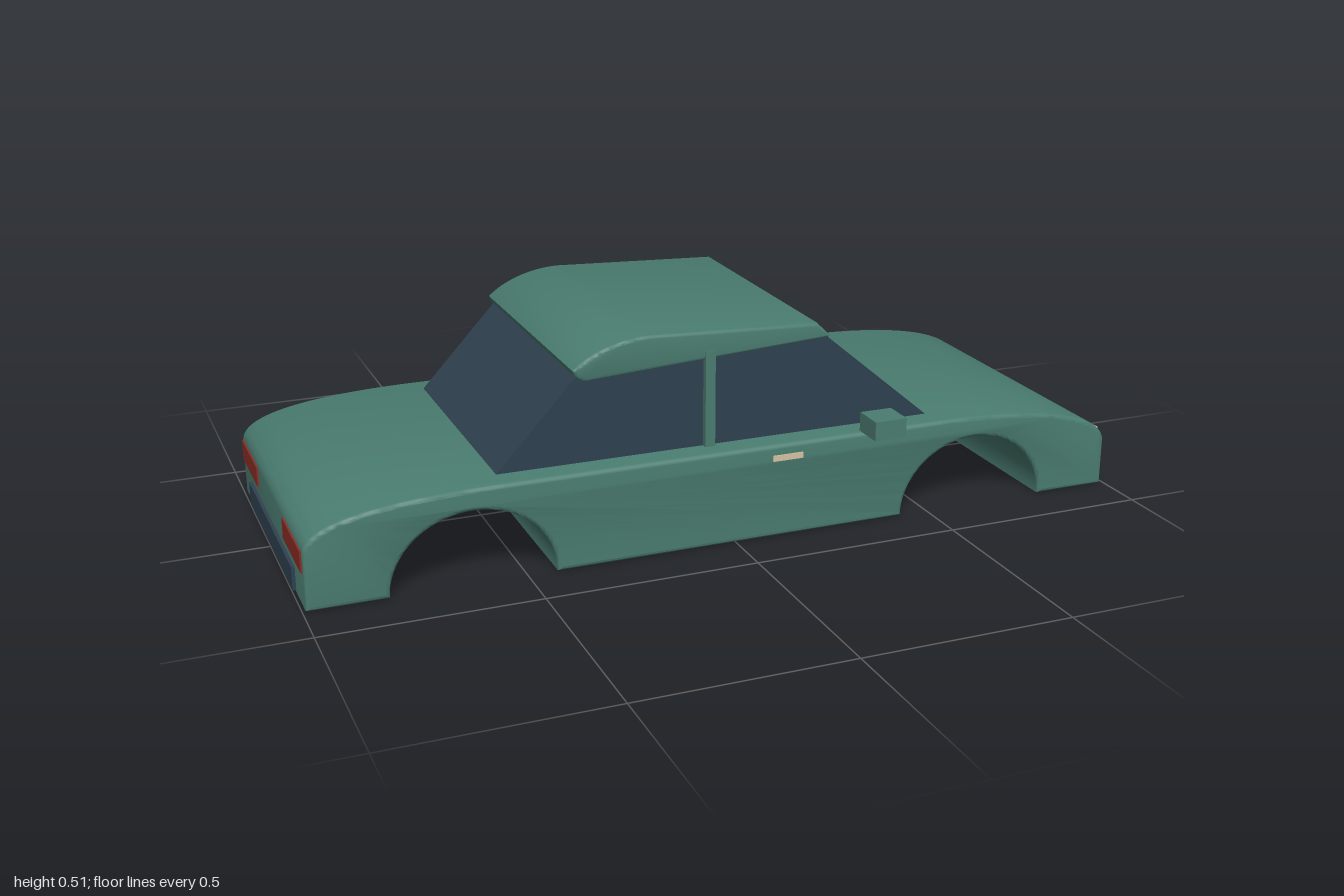
import * as THREE from 'three';
import { toCreasedNormals } from 'three/addons/utils/BufferGeometryUtils.js';

const mat = (name, color) => {
  const m = new THREE.MeshStandardMaterial({ color });
  m.name = name;
  return m;
};

export function createModel() {
  const car = new THREE.Group();
  car.name = 'carBody';
  const paint = mat('green paint', 0x4a7c70);
  const glass = mat('dark glass', 0x2f4150);
  const red = mat('tail light red', 0x8b2e26);
  const cream = mat('cream trim', 0xd6c3a3);

  const add = (name, geometry, material) => {
    const mesh = new THREE.Mesh(geometry, material);
    mesh.name = name;
    car.add(mesh);
    return mesh;
  };

  // Side profile extruded across the car, with softly bevelled flanks
  const slab = (name, shape, halfWidth, bevel, material) => {
    const g = new THREE.ExtrudeGeometry(shape, {
      depth: 2 * (halfWidth - bevel), curveSegments: 28,
      bevelEnabled: bevel > 0, bevelThickness: bevel, bevelSize: bevel,
      bevelOffset: -bevel, bevelSegments: 3,
    });
    g.translate(0, 0, -(halfWidth - bevel));
    return add(name, toCreasedNormals(g, 0.6), material);
  };

  // Box given by its limits on each axis
  const box = (name, [x0, x1], [y0, y1], [z0, z1], material) => {
    const g = new THREE.BoxGeometry(x1 - x0, y1 - y0, z1 - z0);
    g.translate((x0 + x1) / 2, (y0 + y1) / 2, (z0 + z1) / 2);
    return add(name, g, material);
  };

  // Lower body with two wheel arches cut right through
  const body = new THREE.Shape();
  body.moveTo(-0.992, 0);
  body.lineTo(-0.81, 0);
  body.absellipse(-0.62, 0, 0.19, 0.173, Math.PI, 0, true);
  body.lineTo(0.43, 0);
  body.absellipse(0.62, 0, 0.19, 0.173, Math.PI, 0, true);
  body.lineTo(0.992, 0);
  body.lineTo(0.992, 0.115);
  body.bezierCurveTo(0.985, 0.19, 0.78, 0.226, 0.53, 0.226);
  body.lineTo(-0.55, 0.226);
  body.bezierCurveTo(-0.78, 0.226, -0.985, 0.205, -0.992, 0.135);
  body.closePath();
  slab('lowerBody', body, 0.378, 0.01, paint);

  // Glasshouse
  const cabin = new THREE.Shape();
  cabin.moveTo(-0.553, 0.222);
  cabin.lineTo(0.523, 0.222);
  cabin.lineTo(0.24, 0.46);
  cabin.lineTo(-0.345, 0.445);
  cabin.closePath();
  slab('windows', cabin, 0.315, 0, glass);

  // Roof shell
  const roof = new THREE.Shape();
  roof.moveTo(-0.34, 0.417);
  roof.lineTo(0.257, 0.453);
  roof.lineTo(0.222, 0.488);
  roof.lineTo(-0.19, 0.506);
  roof.bezierCurveTo(-0.26, 0.506, -0.33, 0.482, -0.371, 0.445);
  roof.quadraticCurveTo(-0.365, 0.42, -0.34, 0.417);
  slab('roof', roof, 0.327, 0.008, paint);

  // Bumper inserts at both ends
  box('frontGrille', [0.98, 1], [0.005, 0.06], [-0.267, 0.267], glass);
  box('rearBumperInsert', [-1, -0.98], [0.005, 0.06], [-0.267, 0.267], glass);

  // Mirrored side parts
  for (const [side, s] of [['left', 1], ['right', -1]]) {
    const across = (a, b) => (s > 0 ? [a, b] : [-b, -a]);
    // the car's nose points along +x, so these pairs sit at +z and -z
    box(`${side}DoorPillar`, [-0.058, -0.034], [0.222, 0.455], across(0.31, 0.33), paint);
    box(`${side}Mirror`, [0.32, 0.4], [0.225, 0.271], across(0.36, 0.438), paint);
    box(`${side}DoorHandle`, [0.09, 0.165], [0.187, 0.201], across(0.373, 0.381), cream);
    box(`${side}Headlight`, [0.982, 0.991], [0.1355, 0.14], across(0.155, 0.35), cream);
    box(`${side}TailLight`, [-0.996, -0.987], [0.085, 0.135], across(0.16, 0.362), red);
  }
  return car;
}
